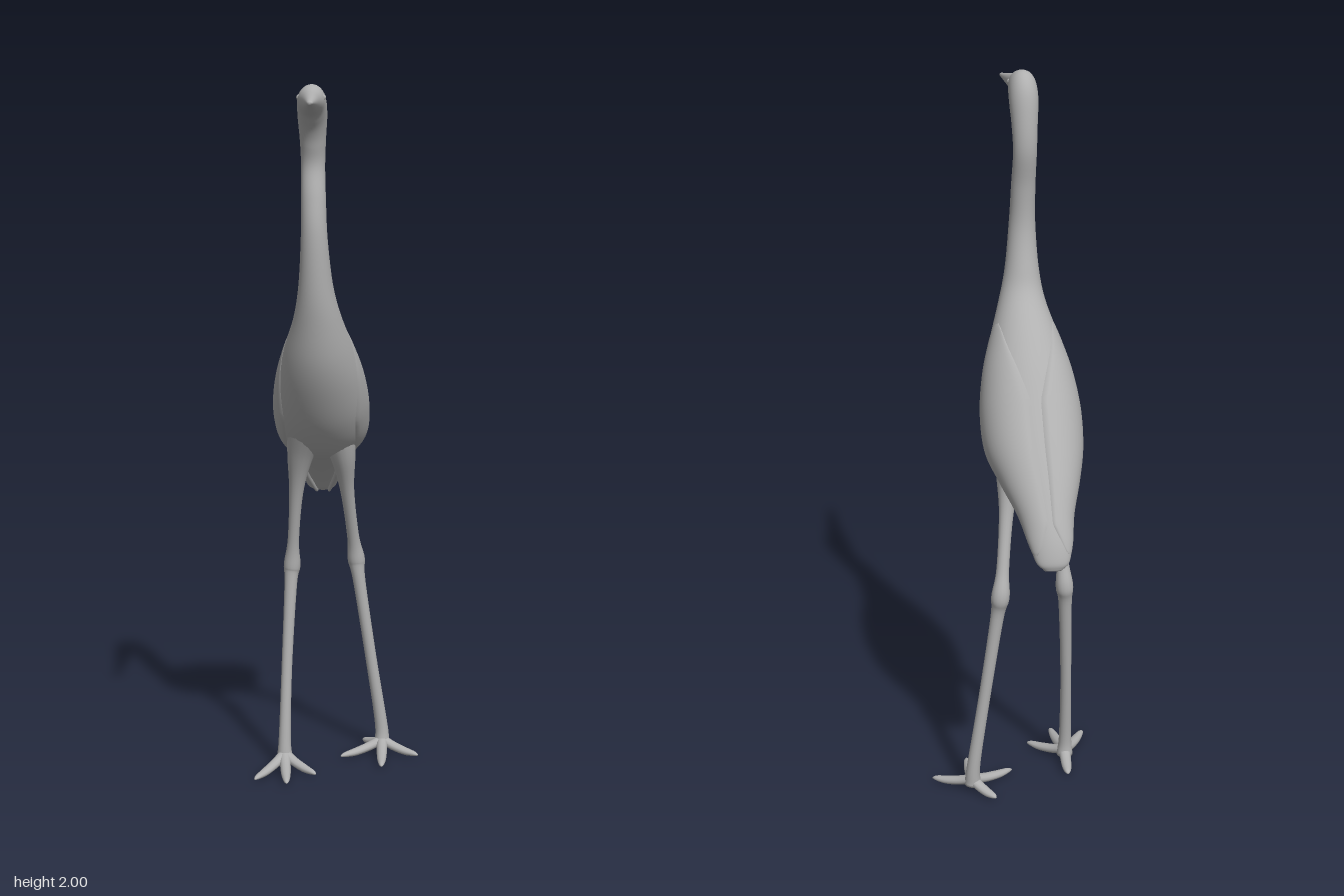
import * as THREE from 'three';

const V = (x, y, z) => new THREE.Vector3(x, y, z);
const RAD = Math.PI / 180;

// Skin a list of closed rings (equal point counts) and cap both ends
function skin(rings) {
  const pos = [], idx = [], n = rings[0].length, m = rings.length;
  rings.forEach(r => r.forEach(p => pos.push(p.x, p.y, p.z)));
  for (let i = 0; i < m - 1; i++) {
    for (let j = 0; j < n; j++) {
      const a = i * n + j, b = i * n + (j + 1) % n;
      idx.push(a, b, a + n, b, b + n, a + n);
    }
  }
  [0, m - 1].forEach((r, end) => {
    const c = rings[r].reduce((s, p) => s.add(p), V(0, 0, 0)).divideScalar(n);
    const k = pos.length / 3;
    pos.push(c.x, c.y, c.z);
    for (let j = 0; j < n; j++) {
      const a = r * n + j, b = r * n + (j + 1) % n;
      if (end) idx.push(a, b, k); else idx.push(b, a, k);
    }
  });
  const g = new THREE.BufferGeometry();
  g.setAttribute('position', new THREE.Float32BufferAttribute(pos, 3));
  g.setIndex(idx);
  g.computeVertexNormals();
  return g;
}

// Tapering limb through [x, y, z, radius] points; flat squashes it along ref
function limb(points, ref, flat = 1, steps = 30, sides = 16) {
  const path = new THREE.CatmullRomCurve3(points.map(p => V(p[0], p[1], p[2])), false, 'catmullrom', 0.5);
  const radius = new THREE.CatmullRomCurve3(points.map(p => V(p[3], 0, 0)), false, 'catmullrom', 0.5);
  const rings = [];
  for (let i = 0; i <= steps; i++) {
    const t = i / steps, c = path.getPoint(t), r = radius.getPoint(t).x;
    const dir = path.getTangent(t);
    const u = ref.clone().cross(dir).normalize(), v = dir.clone().cross(u);
    const ring = [];
    for (let j = 0; j < sides; j++) {
      const a = j / sides * Math.PI * 2;
      ring.push(c.clone().addScaledVector(u, r * Math.cos(a)).addScaledVector(v, r * flat * Math.sin(a)));
    }
    rings.push(ring);
  }
  return skin(rings);
}

// Cross-sections bill to tail: front z, y, back z, y, half width, centre x
const sections = [
  [0.49, 1.94, 0.49, 1.95, 0.007, -0.045],
  [0.36, 1.934, 0.36, 1.965, 0.016, -0.051],
  [0.23, 1.926, 0.23, 1.982, 0.026, -0.058],
  [0.175, 1.917, 0.17, 1.998, 0.036, -0.06],
  [0.15, 1.895, 0.115, 1.998, 0.04, -0.06],
  [0.132, 1.87, 0.076, 1.958, 0.04, -0.06],
  [0.119, 1.835, 0.057, 1.885, 0.036, -0.06],
  [0.11, 1.78, 0.05, 1.79, 0.033, -0.06],
  [0.13, 1.7, 0.067, 1.685, 0.034, -0.058],
  [0.145, 1.6, 0.069, 1.575, 0.037, -0.056],
  [0.14, 1.45, 0.042, 1.47, 0.048, -0.053],
  [0.125, 1.34, 0.005, 1.395, 0.067, -0.05],
  [0.1, 1.23, -0.095, 1.31, 0.1, -0.05],
  [0.055, 1.13, -0.165, 1.245, 0.122, -0.05],
  [-0.01, 1.03, -0.235, 1.165, 0.133, -0.05],
  [-0.09, 0.955, -0.31, 1.075, 0.128, -0.05],
  [-0.19, 0.915, -0.375, 0.99, 0.103, -0.055],
  [-0.3, 0.87, -0.432, 0.905, 0.072, -0.06],
  [-0.39, 0.82, -0.465, 0.845, 0.058, -0.064],
  [-0.44, 0.785, -0.481, 0.795, 0.044, -0.066],
  [-0.465, 0.772, -0.478, 0.772, 0.022, -0.066],
];
const spline = f => new THREE.CatmullRomCurve3(sections.map(f), false, 'catmullrom', 0.5);
const frontLine = spline(s => V(s[5], s[1], s[0]));
const backLine = spline(s => V(s[5], s[3], s[2]));
const widths = spline(s => V(s[4], 0, 0));

// Point on the body skin at section index k, angle a (90 degrees is the back)
function onBody(k, a, scale) {
  const t = Math.min(1, k / (sections.length - 1));
  const f = frontLine.getPoint(t), b = backLine.getPoint(t), w = widths.getPoint(t).x;
  const c = f.clone().add(b).multiplyScalar(0.5), v = b.sub(f).multiplyScalar(0.5);
  return c.addScaledVector(V(-w, 0, 0), Math.cos(a) * scale).addScaledVector(v, Math.sin(a) * scale);
}

function bodyGeometry() {
  const rings = [];
  for (let i = 0; i <= 120; i++) {
    const ring = [];
    for (let j = 0; j < 36; j++) ring.push(onBody(i / 6, j / 36 * Math.PI * 2, 1));
    rings.push(ring);
  }
  return skin(rings);
}

// Folded wing: a crescent shell wrapped over one side of the body
function wingGeometry(side) {
  const rings = [], arc = 18;
  for (let i = 0; i <= 48; i++) {
    const k = i / 48;
    const spread = Math.min(1, Math.sqrt(0.02 + k / 0.35)) * Math.min(1, Math.sqrt(0.06 + (1 - k) / 0.2));
    const mid = 22, hi = mid + 62 * spread, lo = mid - 62 * spread;
    const [a0, a1] = side < 0 ? [lo, hi] : [180 - hi, 180 - lo];
    const ring = [];
    for (let j = 0; j <= arc; j++) {
      const s = j / arc;
      ring.push(onBody(11.6 + 6.9 * k, (a0 + (a1 - a0) * s) * RAD, 1 + 0.06 * spread * Math.pow(Math.sin(Math.PI * s), 0.4)));
    }
    for (let j = arc; j >= 0; j--) ring.push(onBody(11.6 + 6.9 * k, (a0 + (a1 - a0) * j / arc) * RAD, 0.93));
    rings.push(ring);
  }
  return skin(rings);
}

export function createModel() {
  const model = new THREE.Group();
  const plumage = new THREE.MeshStandardMaterial({ color: 0xb0b0b0 });
  plumage.name = 'plain grey';
  const add = (name, geometry, parent = model) => {
    const mesh = new THREE.Mesh(geometry, plumage);
    mesh.name = name;
    parent.add(mesh);
    return mesh;
  };

  add('billHeadNeckBody', bodyGeometry());

  // Wings, flight feather tips and eyes on both sides
  [-1, 1].forEach(side => {
    const label = side < 0 ? 'right' : 'left';
    add(label + 'Wing', wingGeometry(side));
    for (let i = 0; i < 3; i++) {
      const x = -0.062 + side * (0.05 - i * 0.008);
      add(label + 'FlightFeather', limb([
        [x + side * 0.025, 0.95 - i * 0.02, -0.27, 0.02],
        [x + side * 0.01, 0.875 - i * 0.012, -0.36 - i * 0.01, 0.024],
        [x - side * 0.012, 0.815 - i * 0.014, -0.425 - i * 0.014, 0.017],
        [x - side * 0.018, 0.79 - i * 0.009, -0.45 - i * 0.011, 0.004],
      ], V(side, 0, 0), 0.4, 16, 10));
    }
    const eye = add(label + 'Eye', new THREE.SphereGeometry(0.009, 12, 8));
    eye.position.set(-0.06 + side * 0.031, 1.966, 0.167);
  });

  // Legs: hip, shin, joint, shank, ankle; then toe tips as [x, z]
  const legs = [
    {
      name: 'rightLeg',
      path: [[-0.09, 1.04, -0.1, 0.06], [-0.112, 0.94, -0.125, 0.038], [-0.125, 0.83, -0.145, 0.021],
        [-0.136, 0.68, -0.172, 0.017], [-0.141, 0.6, -0.186, 0.025], [-0.145, 0.54, -0.178, 0.019],
        [-0.155, 0.3, -0.142, 0.016], [-0.16, 0.09, -0.11, 0.018], [-0.16, 0.02, -0.105, 0.024]],
      toes: [[-0.237, 0.045], [-0.142, 0.072], [-0.062, -0.005], [-0.155, -0.205]],
    },
    {
      name: 'leftLeg',
      path: [[-0.01, 1.04, -0.13, 0.06], [0.012, 0.94, -0.15, 0.038], [0.024, 0.83, -0.182, 0.021],
        [0.04, 0.68, -0.23, 0.018], [0.049, 0.605, -0.25, 0.026], [0.058, 0.54, -0.246, 0.019],
        [0.094, 0.3, -0.247, 0.017], [0.126, 0.09, -0.25, 0.019], [0.13, 0.02, -0.245, 0.024]],
      toes: [[0.131, -0.08], [0.239, -0.18], [0.007, -0.16], [0.07, -0.315]],
    },
  ];
  legs.forEach(({ name, path, toes }) => {
    const leg = new THREE.Group();
    leg.name = name;
    model.add(leg);
    add('legShaft', limb(path, V(0, 0, 1), 1, 64), leg);
    const [ax, , az] = path[path.length - 1];
    toes.forEach(([tx, tz]) => {
      const at = (s, y, r) => [ax + (tx - ax) * s, y, az + (tz - az) * s, r];
      add('toe', limb([at(0, 0.036, 0.017), at(0.3, 0.022, 0.016), at(0.65, 0.013, 0.014),
        at(0.9, 0.011, 0.009), at(1, 0.009, 0.003)], V(0, 1, 0), 0.8, 16, 12), leg);
    });
  });

  return model;
}
